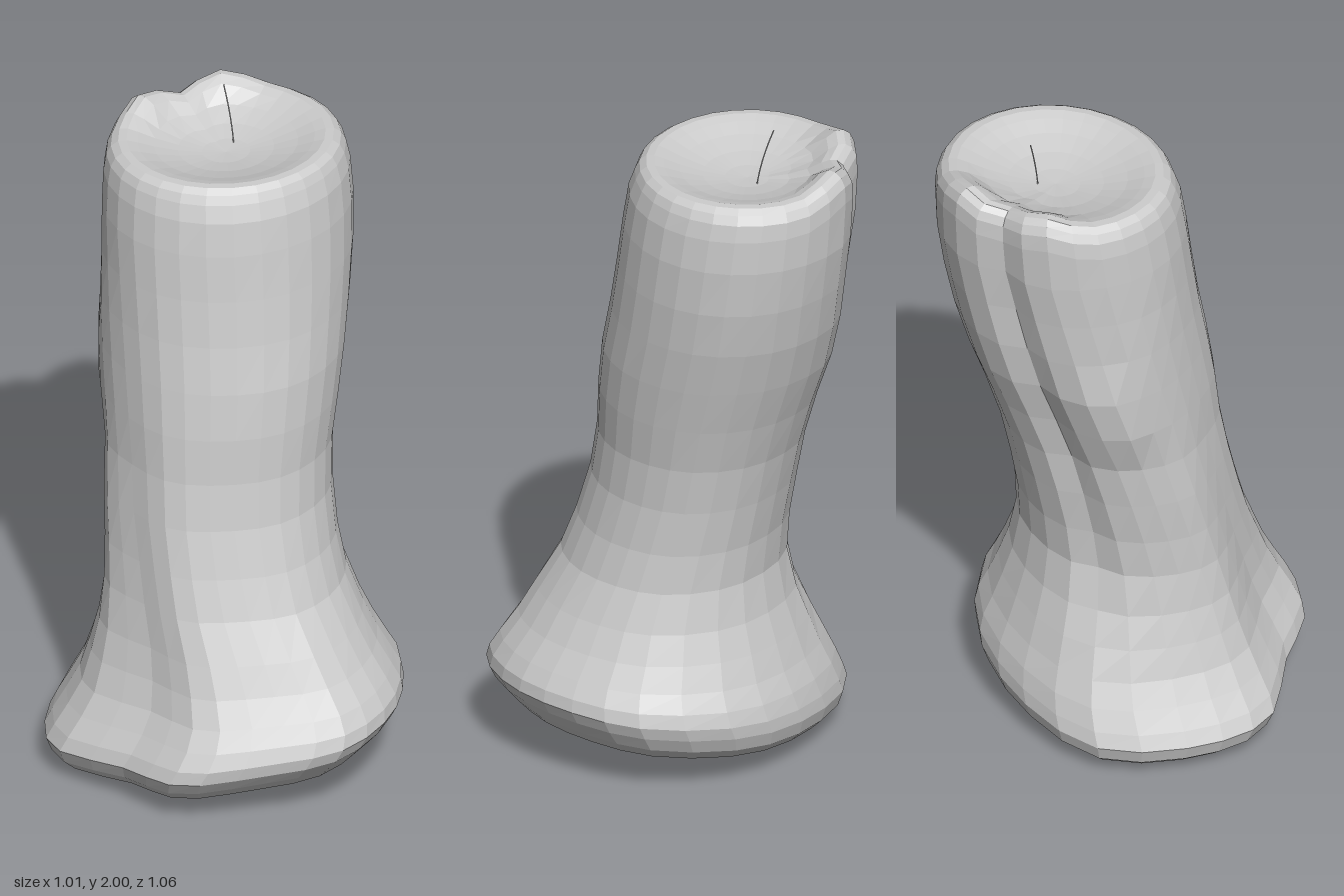
import * as THREE from 'three';

const SIDES = 28;

// Outline of the flared foot, walked from +x towards +z
const footCurve = new THREE.CatmullRomCurve3([
  [0.5, 0.05], [0.42, 0.28], [0.27, 0.45], [0.07, 0.525], [-0.14, 0.455], [-0.345, 0.34],
  [-0.41, 0.14], [-0.5, -0.1], [-0.4, -0.3], [-0.16, -0.475], [0.15, -0.42], [0.4, -0.24],
].map(([x, z]) => new THREE.Vector3(x / 0.5, 0, (z - 0.025) / 0.5)), true);

// Rings from bottom to top: height, x range, z range, share of foot outline, tilt, groove depth
const shaft = [
  [0.115, -0.485, 0.465, -0.465, 0.475, 1, 1.1, 0],
  [0.16, -0.505, 0.49, -0.48, 0.515, 1, 1.05, 0],
  [0.2, -0.485, 0.503, -0.47, 0.53, 1, 1, 0],
  [0.25, -0.445, 0.493, -0.45, 0.52, 1, 0.8, 0],
  [0.31, -0.405, 0.465, -0.42, 0.49, 1, 0.6, 0],
  [0.39, -0.377, 0.43, -0.39, 0.44, 0.95, 0.4, 0.01],
  [0.48, -0.355, 0.395, -0.358, 0.39, 0.85, 0.25, 0.02],
  [0.6, -0.337, 0.362, -0.335, 0.32, 0.7, 0.1, 0.03],
  [0.72, -0.324, 0.352, -0.345, 0.275, 0.6, 0, 0.035],
  [0.86, -0.311, 0.356, -0.37, 0.235, 0.5, 0, 0.04],
  [1.0, -0.293, 0.37, -0.397, 0.215, 0.4, 0, 0.045],
  [1.14, -0.283, 0.4, -0.435, 0.21, 0.3, 0, 0.045],
  [1.28, -0.272, 0.433, -0.48, 0.197, 0.25, 0, 0.045],
  [1.42, -0.261, 0.465, -0.508, 0.172, 0.2, 0, 0.045],
  [1.56, -0.248, 0.487, -0.525, 0.152, 0.1, 0, 0.045],
  [1.7, -0.235, 0.497, -0.541, 0.134, 0, 0, 0.04],
  [1.8, -0.224, 0.494, -0.548, 0.118, 0, 0, 0.04],
  [1.85, -0.212, 0.486, -0.545, 0.1, 0, 0, 0.04],
];

// Shrinks a ring about its middle, for the end faces
function scaledRing([, x0, x1, z0, z1, w, tilt, groove], y, s) {
  const cx = (x0 + x1) / 2, cz = (z0 + z1) / 2;
  return [y, cx + (x0 - cx) * s, cx + (x1 - cx) * s, cz + (z0 - cz) * s, cz + (z1 - cz) * s, w, tilt, groove * s];
}

const sole = [[0.028, 0], [0.03, 0.3], [0.042, 0.6], [0.062, 0.82], [0.082, 0.93]]
  .map(([y, s]) => scaledRing(shaft[0], y, s));
const dish = [[1.876, 0.96], [1.89, 0.9], [1.891, 0.83], [1.882, 0.74], [1.865, 0.6], [1.847, 0.4], [1.836, 0.2], [1.832, 0]]
  .map(([y, s]) => scaledRing(shaft[shaft.length - 1], y, s));

const bell = (v, centre, width) => Math.exp(-(((v - centre) / width) ** 2));

function ringPoint([y, x0, x1, z0, z1, w, tilt, groove], i) {
  const t = (i % SIDES) / SIDES, deg = t * 360, a = t * Math.PI * 2;
  const foot = footCurve.getPoint(t);
  let nx = THREE.MathUtils.lerp(Math.cos(a), foot.x, w);
  let nz = THREE.MathUtils.lerp(Math.sin(a), foot.z, w);
  const hx = (x1 - x0) / 2, hz = (z1 - z0) / 2;
  // Groove down the back, and a small swelling beside it
  let push = 0;
  if (hz > 0) push = (-groove * bell(deg, 270, 11) + 0.04 * bell(deg, 236, 16) * bell(y, 1.2, 0.12)) / hz;
  nx *= 1 + push;
  nz *= 1 + push;
  const x = (x0 + x1) / 2 + nx * hx, z = (z0 + z1) / 2 + nz * hz;
  // Two rounded knuckles on the back of the upper rim
  const rim = y > 1.75 ? THREE.MathUtils.smoothstep(hx, 0.18, 0.29) : 0;
  const knuckles = 0.038 * rim * (bell(deg, 247, 16) + bell(deg, 297, 16));
  return [x, y + tilt * 0.08 * (x + z) + knuckles, z];
}

// Joins the rings into a closed skin
function loft(rings) {
  const pos = [], index = [];
  rings.forEach((ring, r) => {
    for (let i = 0; i < SIDES; i++) {
      pos.push(...ringPoint(ring, i));
      if (r === rings.length - 1) continue;
      const a = r * SIDES + i, b = r * SIDES + (i + 1) % SIDES;
      const c = a + SIDES, d = b + SIDES;
      if (r > 0) index.push(a, c, b);
      if (r === 0) index.push(a, c, d);
      else if (r < rings.length - 2) index.push(b, c, d);
    }
  });
  const geo = new THREE.BufferGeometry();
  geo.setAttribute('position', new THREE.Float32BufferAttribute(pos, 3));
  geo.setIndex(index);
  geo.computeVertexNormals();
  geo.computeBoundingBox();
  geo.translate(0, -geo.boundingBox.min.y, 0);
  return geo;
}

export function createModel() {
  const group = new THREE.Group();
  group.name = 'bone';
  const material = new THREE.MeshStandardMaterial({ color: 0xcccccc, flatShading: true });

  const body = new THREE.Mesh(loft([...sole, ...shaft, ...dish]), material);
  body.name = 'boneBody';
  group.add(body);

  // Fine spike rising from the dished top
  const path = new THREE.QuadraticBezierCurve3(
    new THREE.Vector3(0.18, 1.81, -0.25),
    new THREE.Vector3(0.18, 1.9, -0.26),
    new THREE.Vector3(0.175, 2.0, -0.3),
  );
  const spike = new THREE.Mesh(new THREE.TubeGeometry(path, 6, 0.002, 5), material);
  spike.name = 'topSpike';
  group.add(spike);
  return group;
}
